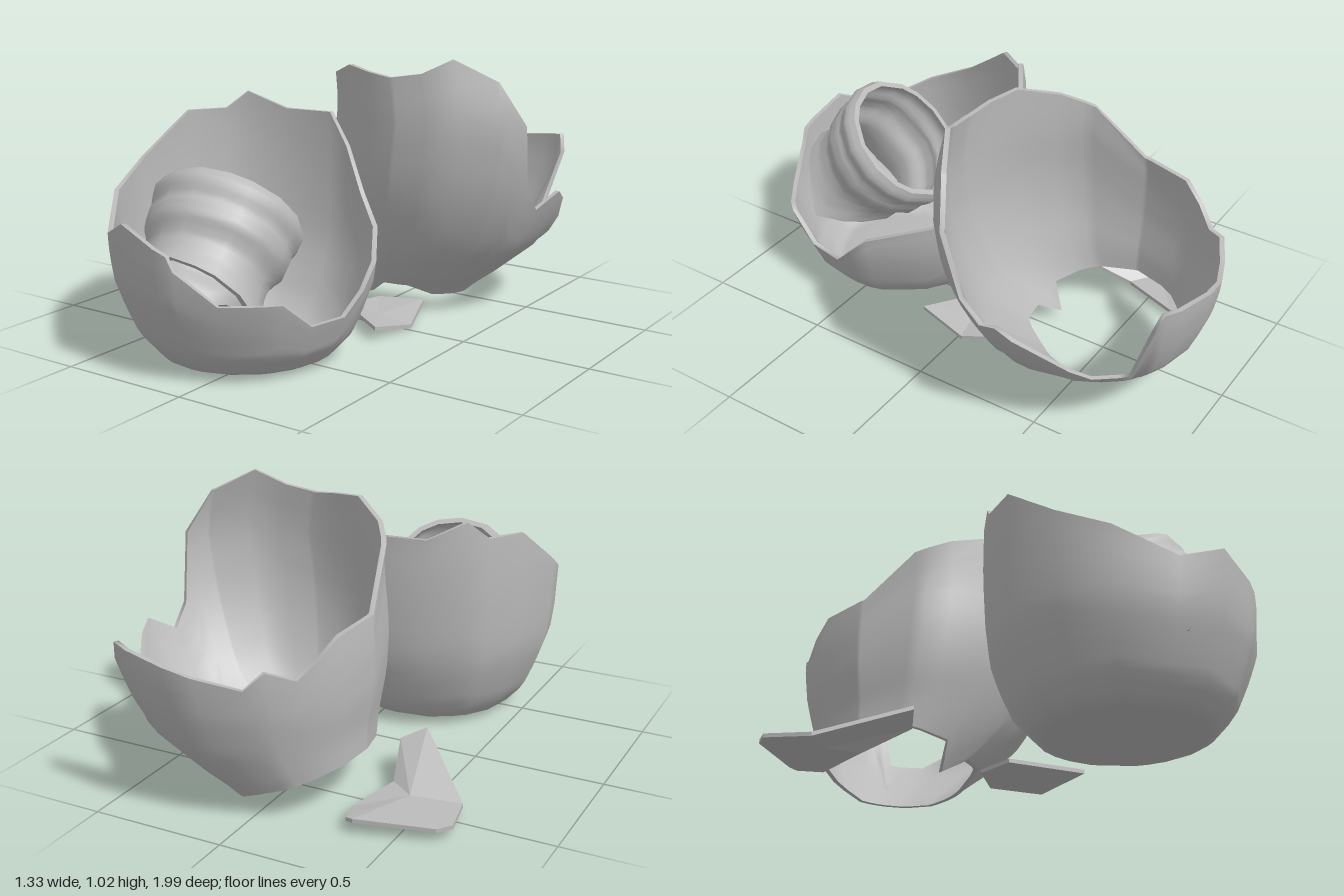
import * as THREE from 'three';

const clay = new THREE.MeshStandardMaterial({ color: 0xbababa, side: THREE.DoubleSide });
clay.name = 'grey clay';

// Piecewise linear lookup in [key, value] pairs
function lookup(pairs, k) {
  if (k <= pairs[0][0]) return pairs[0][1];
  for (let i = 1; i < pairs.length; i++) {
    const [k0, v0] = pairs[i - 1], [k1, v1] = pairs[i];
    if (k <= k1) return v0 + (v1 - v0) * (k - k0) / (k1 - k0);
  }
  return pairs[pairs.length - 1][1];
}

// Height of a broken edge around the full turn, in degrees
function edgeAt(edge, a) {
  const last = edge[edge.length - 1], first = edge[0];
  return lookup([[last[0] - 360, last[1]], ...edge, [first[0] + 360, first[1]]], a);
}

// Closed grid of points, rows of n, with its own smooth normals
function surface(rows, flip) {
  const n = rows[0].length, index = [];
  for (let j = 0; j < rows.length - 1; j++) for (let i = 0; i < n; i++) {
    const a = j * n + i, b = j * n + (i + 1) % n, c = b + n, d = a + n;
    index.push(...(flip ? [a, c, b, a, d, c] : [a, b, c, a, c, d]));
  }
  const g = new THREE.BufferGeometry();
  g.setAttribute('position', new THREE.Float32BufferAttribute(rows.flat(2), 3));
  g.setIndex(index);
  g.computeVertexNormals();
  return g;
}

function add(group, name, geometry) {
  const mesh = new THREE.Mesh(geometry, clay);
  mesh.name = name;
  group.add(mesh);
}

// Thick round wall between two broken edges, or closed below by a floor
function brokenShell(name, { radius, shift = [[0, 0]], low, high, thick, steps, closed = false }) {
  const group = new THREE.Group();
  group.name = name;
  const angles = high.concat(low).map(p => p[0]);
  for (let a = 0; a < 360; a += 22.5) {
    if (!angles.some(b => Math.abs(a - b) < 8)) angles.push(a);
  }
  const turn = [...new Set(angles)].sort((a, b) => a - b);
  const wall = inset => {
    const rows = Array.from({ length: steps + 1 }, (_, j) => turn.map(a => {
      const lo = edgeAt(low, a), y = lo + (edgeAt(high, a) - lo) * (j / steps) ** 1.4;
      const r = lookup(radius, y) - inset, t = a * Math.PI / 180;
      return [lookup(shift, y) + r * Math.sin(t), y, r * Math.cos(t)];
    }));
    if (closed) {
      const ring = s => rows[0].map(([x, y, z]) => [x * s, y + inset, z * s]);
      rows.unshift(ring(0), ring(0.85));
    }
    return rows;
  };
  const outer = wall(0), inner = wall(thick);
  add(group, name + 'Outside', surface(outer, false));
  add(group, name + 'Inside', surface(inner, true));
  add(group, name + 'TopEdge', surface([outer.at(-1), inner.at(-1)], false));
  if (!closed) add(group, name + 'BottomEdge', surface([outer[0], inner[0]], true));
  return group;
}

// Flat-shaded fragment from an outline, fanned around a centre point
function shard(name, outline, centre, thick) {
  const pos = [], n = outline.length;
  const down = p => [p[0], p[1] - thick, p[2]];
  for (let i = 0; i < n; i++) {
    const a = outline[i], b = outline[(i + 1) % n];
    pos.push(...centre, ...a, ...b, ...down(centre), ...down(b), ...down(a));
    pos.push(...a, ...down(a), ...down(b), ...a, ...down(b), ...b);
  }
  const g = new THREE.BufferGeometry();
  g.setAttribute('position', new THREE.Float32BufferAttribute(pos, 3));
  g.computeVertexNormals();
  const mesh = new THREE.Mesh(g, clay);
  mesh.name = name;
  return mesh;
}

export function createModel() {
  const model = new THREE.Group();
  model.name = 'brokenVase';

  // Lower half of the vase, standing upright
  const base = brokenShell('base', {
    radius: [[0.01, 0.28], [0.025, 0.32], [0.1, 0.388], [0.2, 0.432], [0.3, 0.468], [0.4, 0.482],
      [0.6, 0.492], [0.8, 0.49], [0.9, 0.475]],
    low: [[0, 0.01]],
    high: [[6, 0.47], [9, 0.42], [27, 0.31], [53, 0.31], [68, 0.21], [88, 0.21], [98, 0.29], [108, 0.37],
      [139, 0.43], [155, 0.53], [166, 0.69], [176, 0.81], [199, 0.81], [217, 0.875], [227, 0.81],
      [245, 0.81], [270, 0.66], [319, 0.47], [341, 0.545]],
    thick: 0.018, steps: 14, closed: true,
  });
  base.position.set(-0.105, 0, 0.505);
  model.add(base);

  // Upper half of the vase, upside down and leaning, open where the neck broke off
  const shoulder = brokenShell('shoulder', {
    radius: [[0.02, 0.24], [0.07, 0.27], [0.13, 0.32], [0.28, 0.415], [0.42, 0.468], [0.55, 0.498],
      [0.65, 0.507], [0.8, 0.51], [0.92, 0.5], [1.03, 0.485]],
    shift: [[0.02, -0.025], [0.13, 0.035], [0.28, 0.125], [0.42, 0.155], [0.55, 0.18], [0.8, 0.215],
      [1.03, 0.17]],
    low: [[0, 0.1], [20, 0.1], [45, 0.05], [90, 0.025], [135, 0.035], [160, 0.04], [190, 0.1],
      [240, 0.18], [270, 0.2], [300, 0.18], [332, 0.14], [346, 0.035]],
    high: [[13, 0.975], [28, 1.03], [46, 0.95], [55, 0.79], [62, 0.53], [71, 0.45], [83, 0.51],
      [122, 0.3], [141, 0.3], [148, 0.56], [152, 0.63], [178, 0.6], [209, 0.54], [218, 0.6],
      [230, 0.56], [250, 0.68], [272, 0.7], [295, 0.88], [311, 0.93], [332, 0.98], [358, 0.955]],
    thick: 0.018, steps: 14,
  });
  shoulder.position.z = -0.495;
  model.add(shoulder);

  // Broken neck with its rolled rim, lying inside the base
  const neck = brokenShell('neck', {
    radius: [[-0.46, 0.29], [-0.42, 0.265], [-0.37, 0.24], [-0.3, 0.225], [-0.24, 0.225], [-0.205, 0.242],
      [-0.18, 0.26], [-0.12, 0.265], [-0.1, 0.257], [-0.08, 0.27], [-0.04, 0.28], [0, 0.262]],
    low: [[0, -0.34], [40, -0.36], [65, -0.38], [90, -0.42], [130, -0.33], [180, -0.28],
      [230, -0.34], [270, -0.42], [310, -0.36]],
    high: [[0, 0]],
    thick: 0.022, steps: 26,
  });
  neck.rotation.set(-Math.PI / 4, 0.17, 0, 'YXZ');
  neck.position.set(-0.155, 0.525, 0.525);
  model.add(neck);

  // Loose fragments on the ground
  model.add(shard('largeShard', [
    [-0.63, 0.04, -0.43], [-0.38, 0.175, -0.18], [-0.3, 0.14, -0.24], [-0.36, 0.06, -0.42],
    [-0.3, 0.045, -0.63], [-0.33, 0.06, -0.73], [-0.36, 0.065, -0.74], [-0.63, 0.055, -0.66],
    [-0.67, 0.055, -0.61],
  ], [-0.46, 0.065, -0.5], 0.015));
  model.add(shard('smallShard', [
    [0.23, 0.06, 0.18], [0.26, 0.02, -0.02], [0.2, 0.06, -0.21], [0.03, 0.058, -0.15], [-0.02, 0.058, 0],
  ], [0.13, 0.042, 0], 0.015));

  return model;
}
